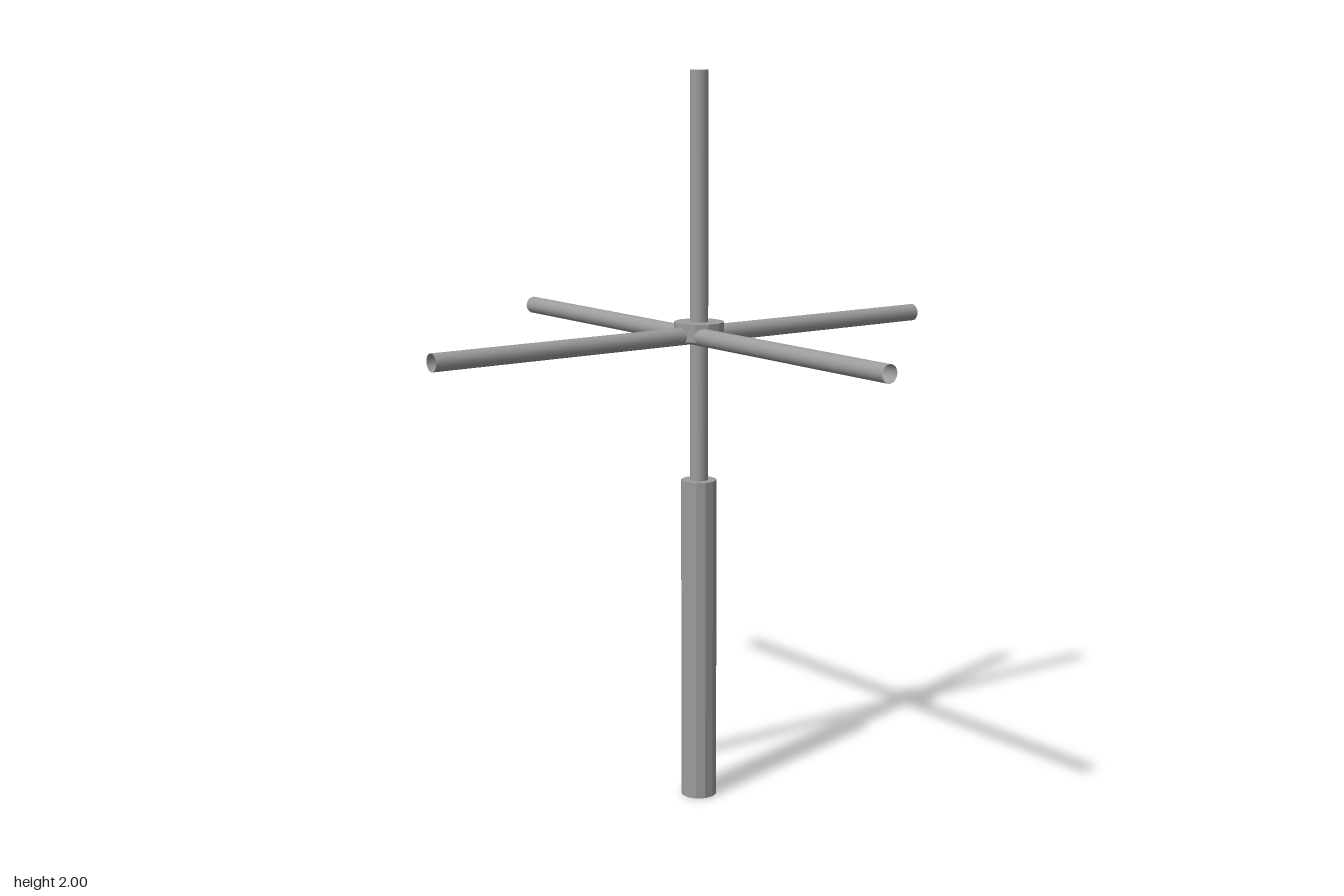
import * as THREE from 'three';

export function createModel() {
  const group = new THREE.Group();
  const smooth = new THREE.MeshStandardMaterial({ color: 0x9c9c9c, side: THREE.DoubleSide });
  const faceted = smooth.clone();
  faceted.flatShading = true;
  // centre line of the upright parts, slightly off the crossing of the arms
  const axisX = 0.017, axisZ = -0.021;

  function rod(name, radius, length, sides, material, open) {
    const geometry = new THREE.CylinderGeometry(radius, radius, length, sides, 1, open);
    const mesh = new THREE.Mesh(geometry, material);
    mesh.name = name;
    group.add(mesh);
    return mesh;
  }

  function upright(name, radius, bottom, top, sides, material, open = false) {
    const mesh = rod(name, radius, top - bottom, sides, material, open);
    mesh.position.set(axisX, (bottom + top) / 2, axisZ);
  }

  // stacked upright parts; the post is a tube, open below and closed by a lid
  upright('basePost', 0.049, 0, 0.9, 12, faceted, true);
  upright('mast', 0.025, 0.9, 2, 16, smooth);
  upright('hub', 0.068, 1.286, 1.334, 12, faceted);

  const lid = new THREE.Mesh(new THREE.CircleGeometry(0.049, 12), smooth);
  lid.name = 'postLid';
  lid.rotation.x = -Math.PI / 2;
  lid.position.set(axisX, 0.9, axisZ);
  group.add(lid);

  // two hollow horizontal tubes crossing on the diagonals
  for (const side of [1, -1]) {
    const arm = rod(side > 0 ? 'crossArmA' : 'crossArmB', 0.024, 1.59, 16, smooth, true);
    arm.position.y = 1.299;
    arm.quaternion.setFromUnitVectors(
      new THREE.Vector3(0, 1, 0),
      new THREE.Vector3(side, 0, 1).normalize()
    );
  }

  return group;
}
